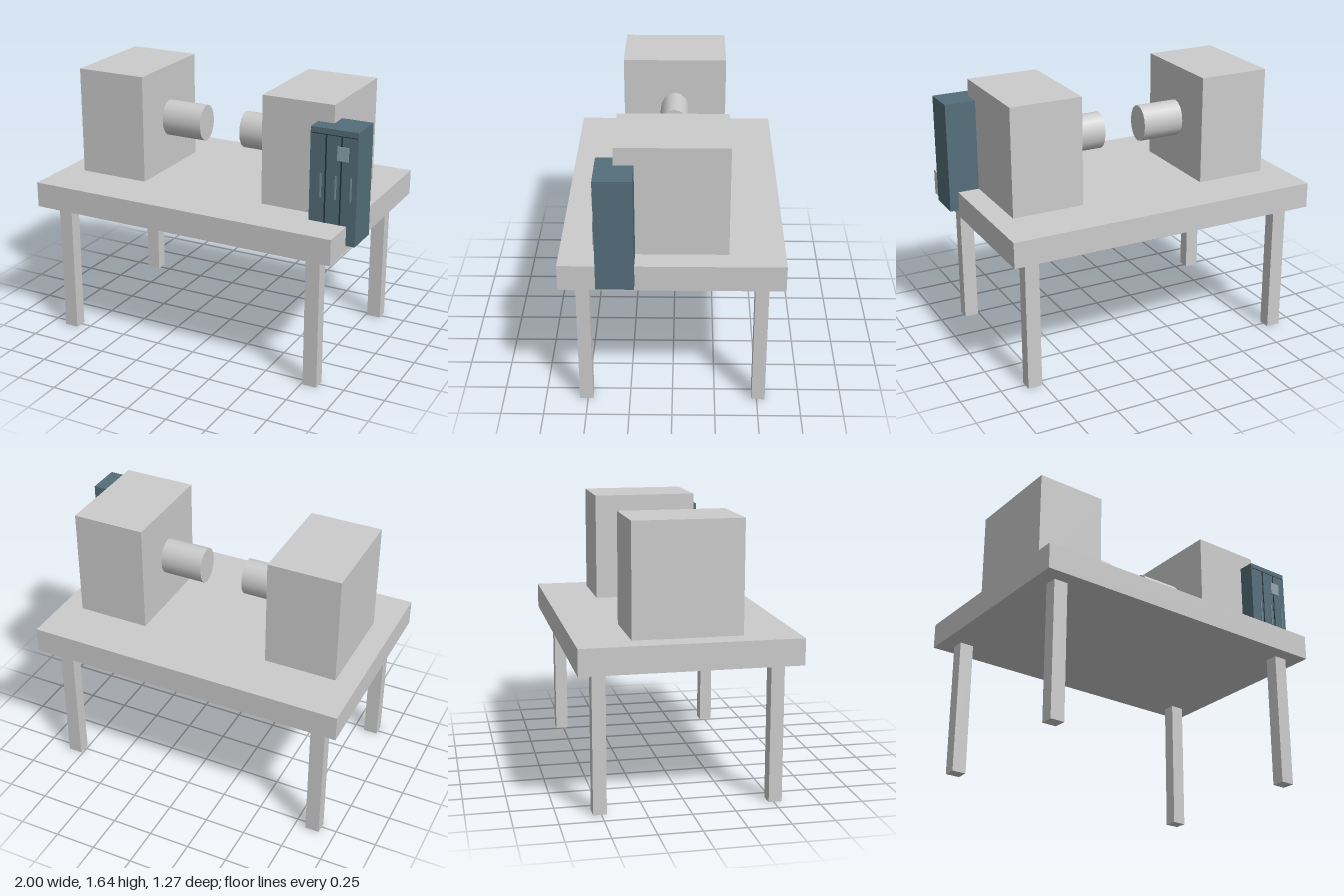
import * as THREE from 'three';

const grey = new THREE.MeshStandardMaterial({ color: 0xcccccc });
const paint = (color) => new THREE.MeshStandardMaterial({ color });

// Box given by its extents on each axis
function box(parent, name, [x0, x1], [y0, y1], [z0, z1], material = grey) {
  const mesh = new THREE.Mesh(new THREE.BoxGeometry(x1 - x0, y1 - y0, z1 - z0), material);
  mesh.position.set((x0 + x1) / 2, (y0 + y1) / 2, (z0 + z1) / 2);
  mesh.name = name;
  parent.add(mesh);
  return mesh;
}

// Slightly oval horizontal spindle along x
function spindle(parent, name, x0, x1) {
  const geometry = new THREE.CylinderGeometry(1, 1, x1 - x0, 16);
  geometry.rotateZ(Math.PI / 2);
  geometry.scale(1, 0.113, 0.09);
  const mesh = new THREE.Mesh(geometry, grey);
  mesh.position.set((x0 + x1) / 2, 1.307, 0);
  mesh.name = name;
  parent.add(mesh);
}

export function createModel() {
  const model = new THREE.Group();
  model.name = 'workbenchMachine';

  // Table
  const table = new THREE.Group();
  table.name = 'table';
  model.add(table);
  box(table, 'tableTop', [-1, 0.945], [0.825, 0.98], [-0.635, 0.635]);
  for (const x of [[-0.905, -0.818], [0.76, 0.847]])
    for (const z of [[-0.548, -0.47], [0.47, 0.548]])
      box(table, 'leg', x, [0, 0.825], z);

  // Two facing heads with spindles
  box(model, 'rightHead', [-0.866, -0.426], [0.98, 1.638], [-0.318, 0.318]);
  box(model, 'leftHead', [0.37, 0.813], [0.98, 1.638], [-0.318, 0.318]);
  spindle(model, 'rightSpindle', -0.426, -0.163);
  spindle(model, 'leftSpindle', 0.106, 0.37);

  // Control cabinet with three doors, overlapping the table corner
  const cabinet = new THREE.Group();
  cabinet.name = 'controlCabinet';
  model.add(cabinet);
  const front = 0.42;
  const dark = paint(0x263238);
  const light = paint(0x78909c);
  box(cabinet, 'cabinetBody', [0.716, 1], [0.865, 1.533], [0.207, front], paint(0x546e7a));
  for (const x of [0.811, 0.903])
    box(cabinet, 'doorSeam', [x - 0.004, x + 0.004], [0.9, 1.5], [front - 0.01, front + 0.002], dark);
  box(cabinet, 'topSeam', [0.722, 0.994], [1.497, 1.501], [front - 0.01, front + 0.002], dark);
  for (const x of [0.784, 0.874, 0.965])
    box(cabinet, 'doorHandle', [x - 0.004, x + 0.004], [1.13, 1.268], [front - 0.01, front + 0.007], light);
  box(cabinet, 'panel', [0.88, 0.947], [1.36, 1.44], [front - 0.01, front + 0.007], paint(0x90a4ae));

  return model;
}
